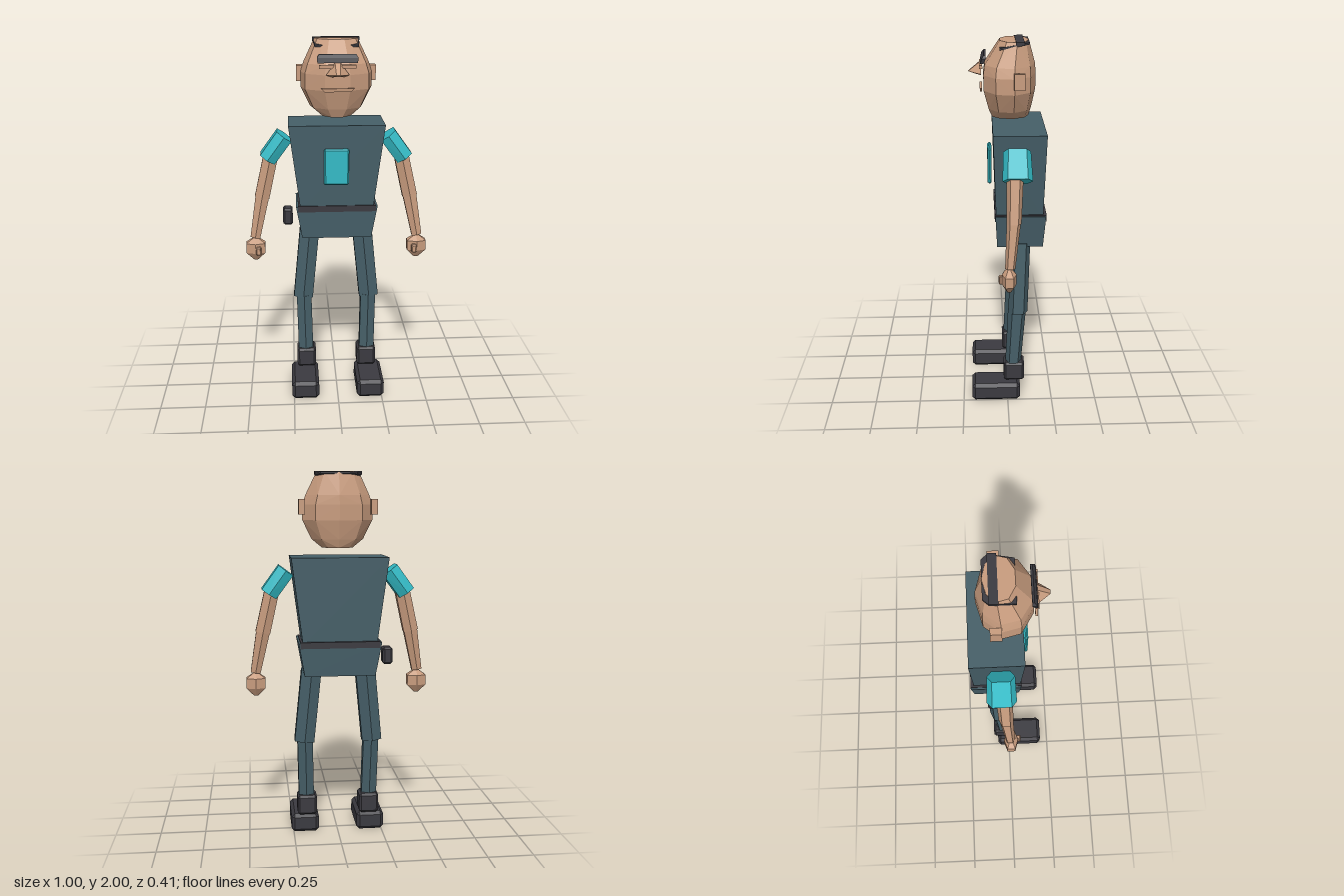
import * as THREE from 'three';
import { ConvexGeometry } from 'three/addons/geometries/ConvexGeometry.js';

const V = (x, y, z) => new THREE.Vector3(x, y, z);

export function createModel() {
  const model = new THREE.Group();
  model.name = 'figure';
  const mat = (name, color) => {
    const m = new THREE.MeshStandardMaterial({ color });
    m.name = name;
    return m;
  };
  const skin = mat('skin', 0xc89c7e);
  const cloth = mat('slate cloth', 0x465f68);
  const teal = mat('teal', 0x33bac5);
  const dark = mat('charcoal', 0x3b3a40);

  // Faceted solid around points; s = -1 mirrors it to the right side
  const hull = (name, material, points, s = 1) => {
    const mesh = new THREE.Mesh(new ConvexGeometry(points.map(p => V(p.x * s, p.y, p.z))), material);
    mesh.name = name;
    model.add(mesh);
    return mesh;
  };
  // Rectangle in a horizontal plane
  const rect = (y, hx, z0, z1) => [V(hx, y, z0), V(-hx, y, z0), V(hx, y, z1), V(-hx, y, z1)];
  // Box between two corners with chamfered edges
  const block = (x0, x1, y0, y1, z0, z1, c = 0) => {
    const pts = [];
    for (const [x, i] of [[x0, c], [x1, -c]])
      for (const [y, j] of [[y0, c], [y1, -c]])
        for (const [z, k] of [[z0, c], [z1, -c]]) {
          if (!c) { pts.push(V(x, y, z)); continue; }
          pts.push(V(x, y + j, z + k), V(x + i, y, z + k), V(x + i, y + j, z));
        }
    return pts;
  };
  // Six-sided limb section, tilted about z
  const ring = (x, y, z, a, b, tilt, flat = 0.55) =>
    [[1, flat], [1, -flat], [0, -1], [-1, -flat], [-1, flat], [0, 1]].map(([u, w]) =>
      V(x + u * a * Math.cos(tilt), y + u * a * Math.sin(tilt), z + w * b));

  // Torso, hips and belt
  hull('torso', cloth, [...rect(1.56, 0.257, 0.075, -0.2), ...rect(1.1, 0.198, 0.06, -0.188)]);
  hull('hips', cloth, [...rect(1.112, 0.222, 0.064, -0.203), ...rect(0.93, 0.19, 0.055, -0.19)]);
  hull('belt', dark, block(-0.212, 0.212, 1.083, 1.117, -0.206, 0.067));
  hull('chestPlate', teal, block(-0.07, 0.063, 1.243, 1.44, 0.08, 0.102, 0.008));
  hull('beltPouch', dark, block(-0.295, -0.241, 0.975, 1.068, -0.118, -0.04, 0.01));

  // Head: nine-sided rings of [y, half width, centre z, half depth]
  const headRings = [
    [2.0, 0.115, -0.038, 0.077], [1.88, 0.174, -0.014, 0.134], [1.83, 0.191, -0.012, 0.14],
    [1.75, 0.191, -0.012, 0.139], [1.65, 0.141, -0.015, 0.115], [1.605, 0.085, -0.017, 0.098],
  ];
  hull('head', skin, headRings.flatMap(([y, rx, cz, rz]) =>
    Array.from({ length: 9 }, (_, i) => {
      const t = Math.PI * (1 + 2 * i) / 9;
      return V(rx * Math.sin(t), y, cz + rz * Math.cos(t));
    })));

  // Hair cap showing at the crown's corners, and the strip across it
  const cap = [];
  for (const s of [1, -1])
    for (const d of [0, 0.01])
      cap.push(V(s * 0.113, 1.972 - d, 0.037), V(s * 0.124, 1.996 - d, -0.085), V(s * 0.097, 1.998 - d, -0.115));
  hull('hairCap', dark, cap);
  hull('hairStrip', dark, block(-0.124, 0.124, 1.986, 2.003, -0.088, -0.045));

  // Face
  hull('brow', dark, [
    ...rect(1.935, 0.095, 0.106, 0.116), ...rect(1.918, 0.105, 0.106, 0.128), ...rect(1.893, 0.102, 0.118, 0.134)]);
  hull('nose', skin, [V(0.014, 1.895, 0.13), V(-0.014, 1.895, 0.13), V(0.06, 1.832, 0.13), V(-0.06, 1.832, 0.13),
    V(0.03, 1.822, 0.13), V(-0.03, 1.822, 0.13), V(0.01, 1.84, 0.197), V(-0.01, 1.84, 0.197)]);
  hull('mouth', skin, [...rect(1.765, 0.086, 0.126, 0.138), ...rect(1.747, 0.068, 0.126, 0.136)]);

  for (const [side, s] of [['left', 1], ['right', -1]]) {
    hull(side + 'Eye', skin, block(0.02, 0.095, 1.866, 1.884, 0.124, 0.14), s);
    hull(side + 'Ear', skin, block(0.176, 0.21, 1.78, 1.86, -0.088, -0.033), s);

    // Arm
    hull(side + 'Sleeve', teal, [
      ...ring(0.28, 1.487, -0.045, 0.047, 0.07, 0.64, 0.65), ...ring(0.372, 1.362, -0.045, 0.046, 0.076, 0.6, 0.65)], s);
    hull(side + 'UpperArm', skin, [
      ...ring(0.352, 1.39, -0.032, 0.039, 0.043, 0.25), ...ring(0.407, 1.148, -0.025, 0.04, 0.038, 0.22)], s);
    hull(side + 'Forearm', skin, [
      ...ring(0.406, 1.152, -0.024, 0.037, 0.036, 0.2), ...ring(0.45, 0.922, -0.005, 0.027, 0.026, 0.18)], s);
    hull(side + 'Hand', skin, [
      ...ring(0.449, 0.92, 0, 0.012, 0.012, 0), ...ring(0.449, 0.89, 0, 0.052, 0.038, 0),
      ...ring(0.449, 0.835, 0, 0.052, 0.038, 0), ...ring(0.449, 0.792, 0, 0.012, 0.012, 0)], s);
    hull(side + 'Thumb', skin, block(0.419, 0.446, 0.83, 0.876, 0.02, 0.053, 0.005), s);

    // Leg
    hull(side + 'Thigh', cloth, [
      ...ring(0.148, 0.945, -0.072, 0.054, 0.053, 0.1), ...ring(0.188, 0.54, -0.058, 0.054, 0.053, 0.1)], s);
    hull(side + 'Shin', cloth, [
      ...ring(0.184, 0.55, -0.053, 0.042, 0.05, 0), ...ring(0.177, 0.2, -0.032, 0.042, 0.044, 0)], s);
    hull(side + 'AnkleCuff', dark, block(0.12, 0.228, 0.114, 0.225, -0.094, 0.021, 0.012), s);
    hull(side + 'Foot', dark, block(0.108, 0.262, 0.002, 0.107, -0.07, 0.202, 0.018), s);
  }

  model.position.y = -0.002;
  return model;
}
